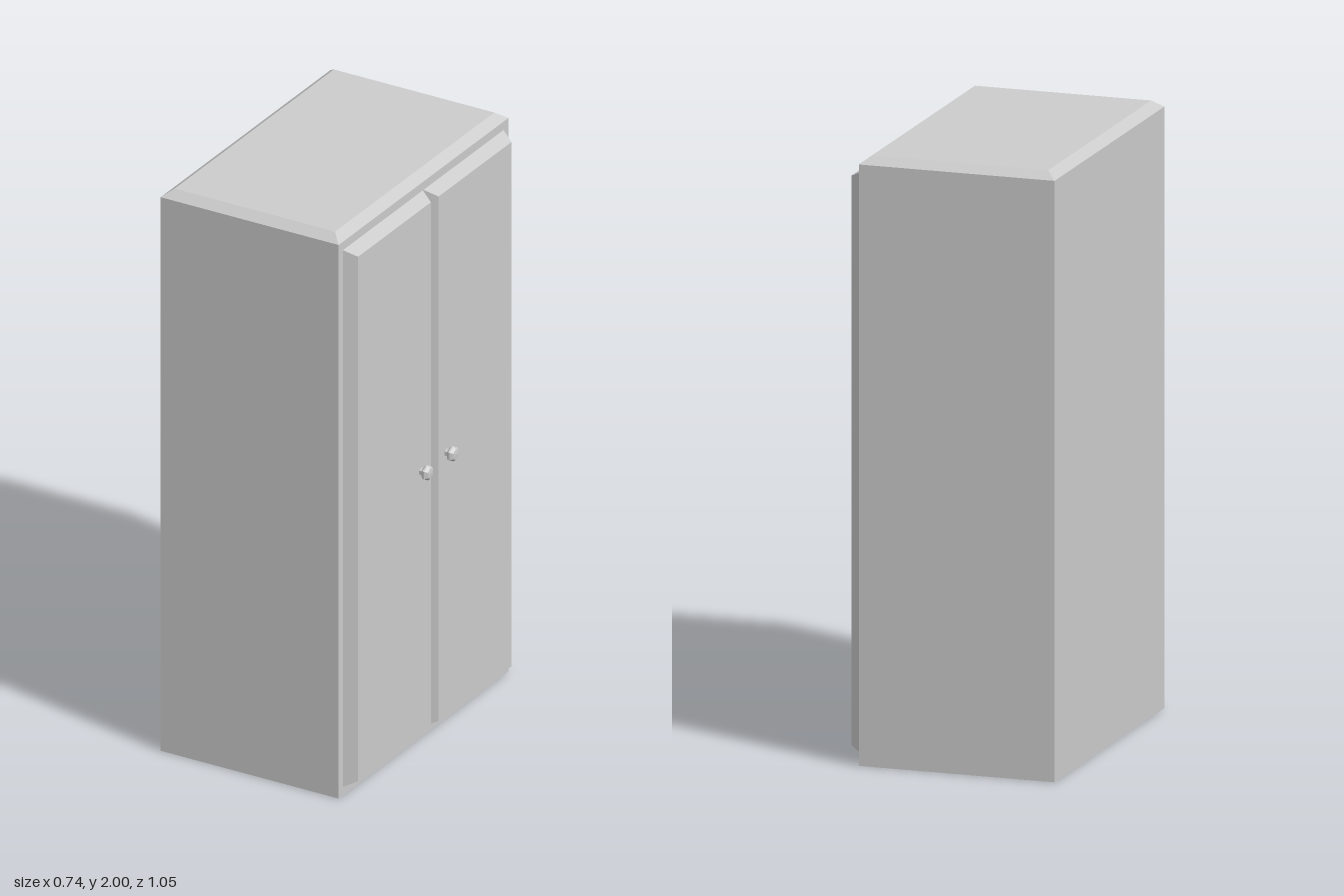
import * as THREE from 'three';

const material = new THREE.MeshStandardMaterial({ color: 0xcccccc, flatShading: true });

// Apply a rule to every vertex of a geometry
function reshape(geometry, rule) {
  const p = geometry.attributes.position;
  const v = new THREE.Vector3();
  for (let i = 0; i < p.count; i++) {
    v.fromBufferAttribute(p, i);
    rule(v);
    p.setXYZ(i, v.x, v.y, v.z);
  }
  geometry.computeVertexNormals();
  return geometry;
}

function part(name, geometry) {
  const mesh = new THREE.Mesh(geometry, material);
  mesh.name = name;
  return mesh;
}

// Cabinet box whose top edge is chamfered on all four sides
function cabinetGeometry(width, height, depth, inset, drop) {
  const g = new THREE.BoxGeometry(width, height, depth, 1, 2, 1);
  g.translate(0, height / 2, 0);
  return reshape(g, (v) => {
    if (v.y > height * 0.75) {
      v.x -= Math.sign(v.x) * inset;
      v.z -= Math.sign(v.z) * inset;
    } else if (v.y > height * 0.25) {
      v.y = height - drop;
    }
  });
}

// Door panel whose outer face is smaller than its back
function doorGeometry(thickness, height, width, inset) {
  const g = new THREE.BoxGeometry(thickness, height, width);
  return reshape(g, (v) => {
    if (v.x > 0) {
      v.y -= Math.sign(v.y) * inset;
      v.z -= Math.sign(v.z) * inset;
    }
  });
}

// Six-sided knob turned around the x axis
function knobGeometry() {
  const profile = [
    [0.014, -0.004], [0.014, 0.012], [0.02, 0.012],
    [0.027, 0.019], [0.027, 0.025], [0.019, 0.035], [0, 0.037],
  ].map(([r, h]) => new THREE.Vector2(r, h));
  const g = new THREE.LatheGeometry(profile, 6, Math.PI / 2);
  g.rotateZ(-Math.PI / 2);
  return g;
}

export function createModel() {
  const model = new THREE.Group();
  model.name = 'cabinet';

  const body = part('cabinetBody', cabinetGeometry(0.662, 2, 1.054, 0.033, 0.025));
  body.position.x = -0.041;
  model.add(body);

  // Two doors, each with a knob near the centre gap
  const doorShape = doorGeometry(0.043, 1.915, 0.496, 0.022);
  const knobShape = knobGeometry();
  for (const [side, doorZ, knobZ] of [['left', -0.248, -0.071], ['right', 0.252, 0.087]]) {
    const door = part(side + 'Door', doorShape);
    door.position.set(0.3115, 0.9875, doorZ);
    const knob = part(side + 'Knob', knobShape);
    knob.position.set(0.333, 0.99, knobZ);
    model.add(door, knob);
  }
  return model;
}
